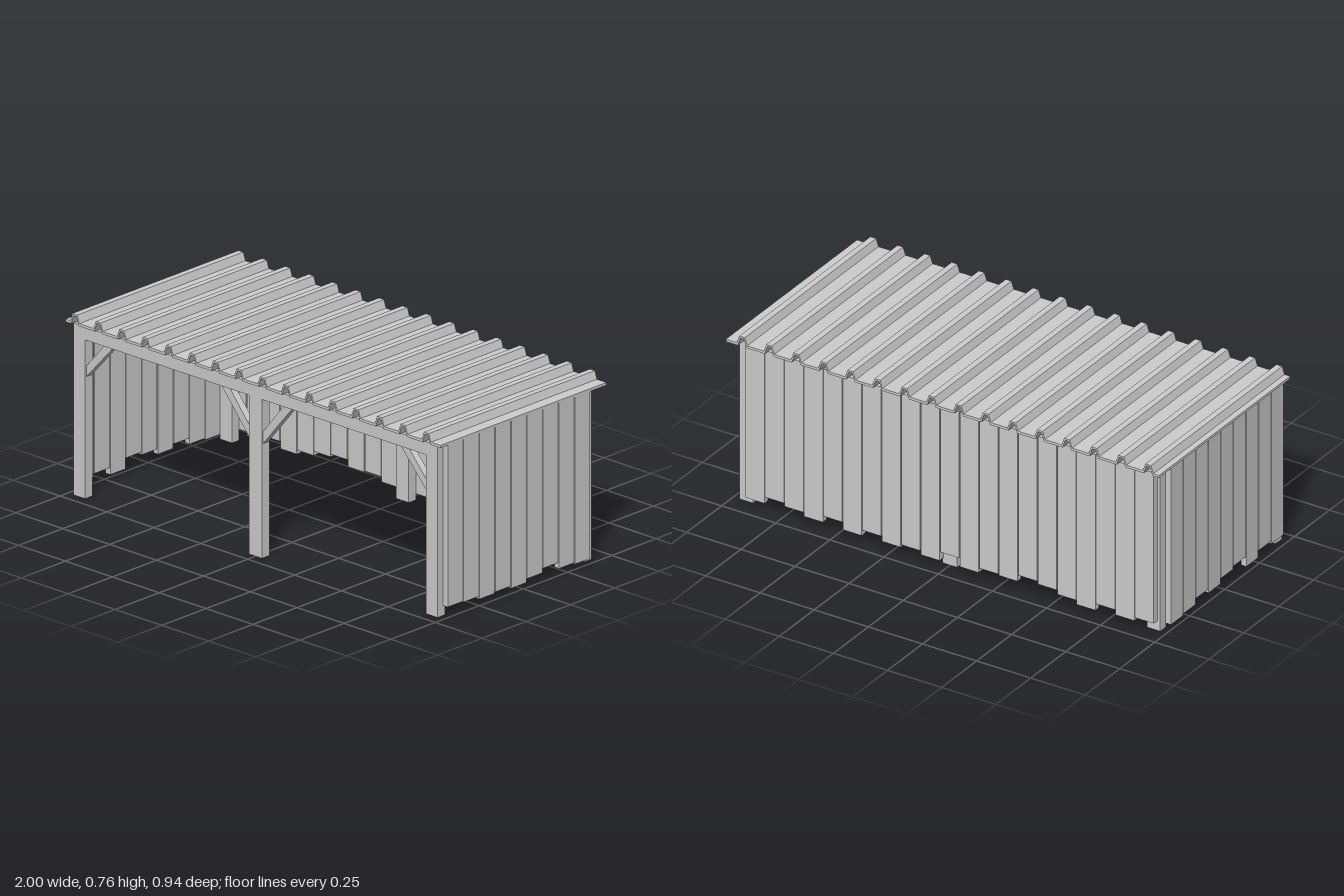
import * as THREE from 'three';

const material = new THREE.MeshStandardMaterial({ color: 0xcccccc, flatShading: true });
const sheetMaterial = new THREE.MeshStandardMaterial({ color: 0xcccccc, flatShading: true, side: THREE.DoubleSide });

export function createModel() {
  const model = new THREE.Group();
  model.name = 'openShed';

  // Box given by its lower and upper corners
  const box = (name, x0, x1, y0, y1, z0, z1) => {
    const mesh = new THREE.Mesh(new THREE.BoxGeometry(x1 - x0, y1 - y0, z1 - z0), material);
    mesh.position.set((x0 + x1) / 2, (y0 + y1) / 2, (z0 + z1) / 2);
    mesh.name = name;
    model.add(mesh);
  };

  // Outline in x and y, extruded from z0 to z1
  const prism = (name, points, z0, z1, mat = material) => {
    const shape = new THREE.Shape(points.map(([x, y]) => new THREE.Vector2(x, y)));
    const geometry = new THREE.ExtrudeGeometry(shape, { depth: z1 - z0, bevelEnabled: false });
    geometry.translate(0, 0, z0);
    const mesh = new THREE.Mesh(geometry, mat);
    mesh.name = name;
    model.add(mesh);
  };

  const beamBottom = 0.66, beamTop = 0.715;
  const frontZ = [0.412, 0.455], backZ = [-0.416, -0.375];

  // Posts and long beams
  for (const [side, z] of [['front', frontZ], ['back', backZ]]) {
    for (const x of [-0.94, 0, 0.94]) {
      const half = x === 0 ? 0.034 : 0.031;
      box(side + 'Post', x - half, x + half, 0, beamBottom, ...z);
    }
    box(side + 'Beam', -0.971, 0.971, beamBottom, beamTop, ...z);
  }

  // Cross beams along the two ends
  for (const s of [-1, 1]) {
    const xs = [s * 0.971, s * 0.912].sort((a, b) => a - b);
    box('endBeam', ...xs, beamBottom, beamTop, backZ[1], frontZ[0]);
  }

  // Diagonal braces between the front posts and the beam
  const brace = (x, dir, low, run, thick, thickRun) => prism('brace', [
    [x, low], [x + dir * run, beamBottom],
    [x + dir * (run - thickRun), beamBottom], [x, low + thick],
  ], 0.418, 0.448);
  for (const s of [-1, 1]) {
    brace(s * 0.909, -s, 0.505, 0.142, 0.045, 0.045);
    brace(s * 0.034, s, 0.475, 0.155, 0.05, 0.045);
  }

  // Back wall: boards with uneven lower ends
  const backEnds = [0.045, 0.03, 0.052, 0.022, 0.04, 0.058, 0.07, 0.042, 0.047, 0.026, 0.064,
    0.025, 0.042, 0.03, 0.052, 0.027, 0.06, 0.032, 0.049, 0.063, 0.034];
  const pitch = 0.0899;
  backEnds.forEach((end, i) => {
    const x = -0.96 + i * pitch;
    box('backBoard', x, x + pitch - 0.004, end, beamTop, -0.445, -0.418);
  });

  // End walls, boards listed from front to back
  const rightEnds = [0.042, 0.038, 0.025, 0.03, 0.02, 0.035, 0.053, 0.027, 0.02];
  const leftEnds = [0.042, 0.055, 0.025, 0.07, 0.058, 0.035, 0.053, 0.027, 0.02];
  const endWall = (name, ends, x0, x1) => ends.forEach((end, i) => {
    const z = 0.425 - i * 0.0898;
    box(name, x0, x1, end, beamTop, z - 0.0855, z);
  });
  endWall('rightEndBoard', rightEnds, 0.972, 0.997);
  endWall('leftEndBoard', leftEnds, -0.997, -0.972);

  // Ribbed roof sheet: upper outline left to right, lower outline back again
  const upper = [[-1, 0.727]], lower = [[-1, 0.716]];
  for (let i = 0; i < 16; i++) {
    const x = -0.95 + i * 0.125;
    upper.push([x - 0.024, 0.727], [x - 0.013, 0.76], [x + 0.013, 0.76], [x + 0.024, 0.727]);
    lower.push([x - 0.02, 0.716], [x - 0.008, 0.752], [x + 0.008, 0.752], [x + 0.02, 0.716]);
  }
  upper.push([1, 0.727]);
  lower.push([1, 0.716]);
  prism('roofSheet', [...upper, ...lower.reverse()], -0.47, 0.47, sheetMaterial);

  return model;
}
